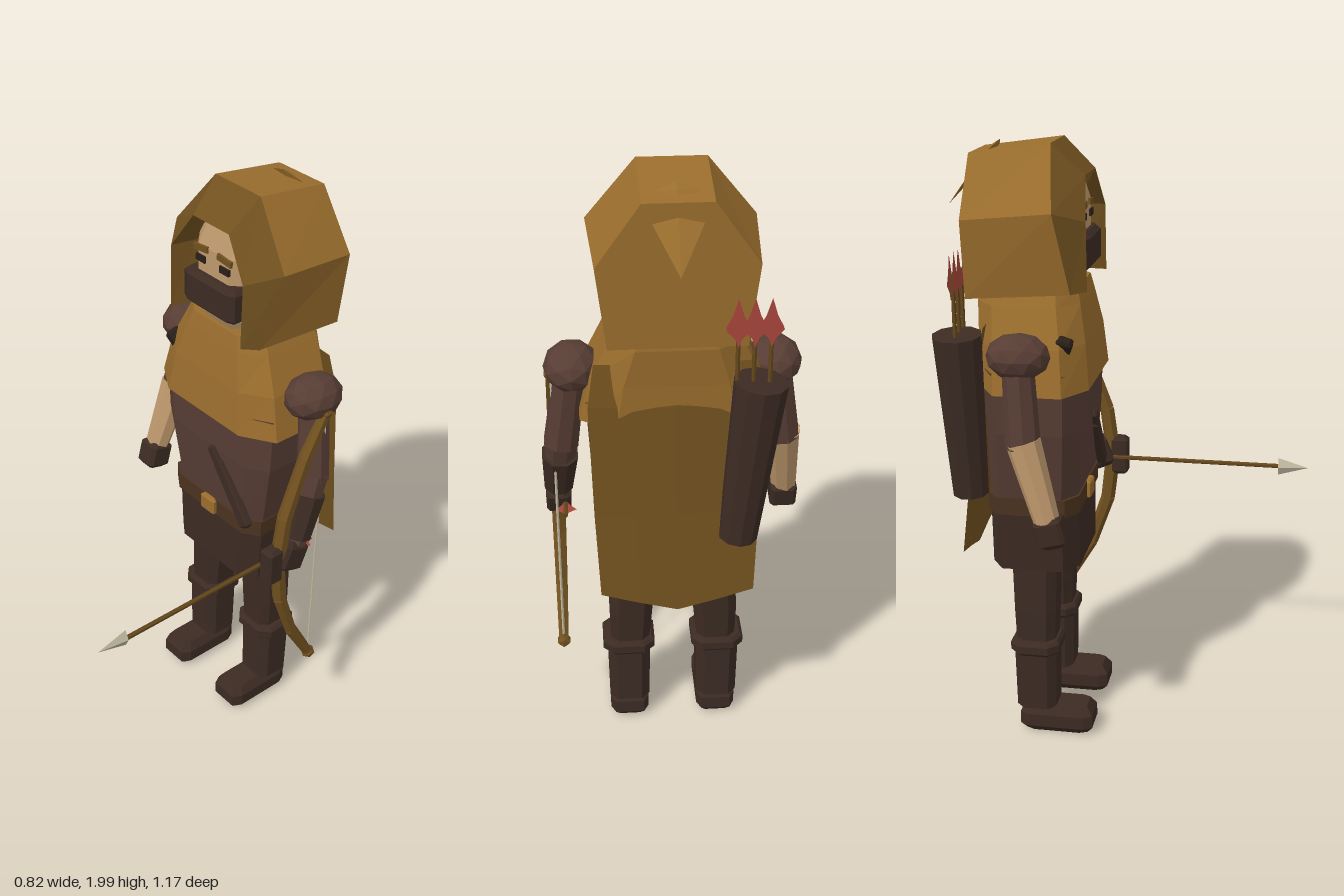
import * as THREE from 'three';

const material = (name, color, side = THREE.FrontSide) => {
  const m = new THREE.MeshStandardMaterial({ color, side, flatShading: true });
  m.name = name;
  return m;
};

export function createModel() {
  const root = new THREE.Group();
  root.name = 'hoodedArcher';
  const M = {
    ochre: material('ochre cloth', 0x9a6d2d, THREE.DoubleSide),
    olive: material('dark ochre', 0x71511f, THREE.DoubleSide),
    brown: material('brown cloth', 0x573d34),
    dark: material('dark leather', 0x3c2b23),
    belt: material('belt leather', 0x4b331f),
    skin: material('skin', 0xbf996d),
    red: material('red feathers', 0xa8463a, THREE.DoubleSide),
    metal: material('pale metal', 0xc0b79f),
    wood: material('shaft wood', 0x62461b),
    ink: material('near black', 0x2a1f19),
  };
  const V = (x, y, z) => new THREE.Vector3(x, y, z);

  function add(name, geo, mat, pos = [0, 0, 0], rot = [0, 0, 0], scale = [1, 1, 1]) {
    const g = geo.index ? geo.toNonIndexed() : geo;
    g.computeVertexNormals();
    const mesh = new THREE.Mesh(g, mat);
    mesh.name = name;
    mesh.position.set(...pos);
    mesh.rotation.set(...rot);
    mesh.scale.set(...scale);
    root.add(mesh);
    return mesh;
  }
  function fromTriangles(points) {
    return new THREE.BufferGeometry().setFromPoints(points);
  }
  // Stacked octagons; ring = [y, halfWidth, halfDepth, centreX, centreZ]
  function loft(rings, k = 0.6) {
    const R = rings.map(([y, w, d, cx = 0, cz = 0]) =>
      [[w, -k * d], [w, k * d], [k * w, d], [-k * w, d], [-w, k * d], [-w, -k * d], [-k * w, -d], [k * w, -d]]
        .map(([x, z]) => V(cx + x, y, cz + z)));
    const t = [];
    for (let r = 0; r + 1 < R.length; r++) {
      for (let i = 0; i < 8; i++) {
        const j = (i + 1) % 8, a = R[r], b = R[r + 1];
        t.push(a[i], b[i], a[j], b[i], b[j], a[j]);
      }
    }
    const lo = R[0], hi = R[R.length - 1];
    for (let i = 1; i < 7; i++) t.push(lo[0], lo[i], lo[i + 1], hi[0], hi[i + 1], hi[i]);
    return fromTriangles(t);
  }
  // Box with bevelled edges, centred on its origin
  function bevelBox(w, h, d, b) {
    const x = w / 2, y = h / 2, z = d / 2;
    return loft([[-y, x - b, z - b], [-y + b, x, z], [y - b, x, z], [y, x - b, z - b]], 0.75);
  }
  // Open sheet through rows of points
  function sheet(rows) {
    const t = [];
    for (let r = 0; r + 1 < rows.length; r++) {
      for (let i = 0; i + 1 < rows[r].length; i++) {
        const a = rows[r][i], b = rows[r][i + 1], c = rows[r + 1][i], d = rows[r + 1][i + 1];
        t.push(a, c, b, b, c, d);
      }
    }
    return fromTriangles(t);
  }
  // Tapered cylinder between two points
  function limb(name, a, b, ra, rb, mat, sides = 8) {
    const p = V(...a), q = V(...b);
    const m = add(name, new THREE.CylinderGeometry(rb, ra, p.distanceTo(q), sides), mat);
    m.position.copy(p).add(q).multiplyScalar(0.5);
    m.quaternion.setFromUnitVectors(V(0, 1, 0), q.sub(p).normalize());
  }

  // Legs and boots
  for (const [side, s] of [['left', 1], ['right', -1]]) {
    const x = s * 0.148;
    add(side + 'Foot', loft([[0, 0.045, 0.105, x, -0.222], [0.025, 0.065, 0.125, x, -0.222],
      [0.07, 0.065, 0.125, x, -0.222], [0.1, 0.045, 0.105, x, -0.222]], 0.75), M.dark);
    add(side + 'BootShaft', loft([[0.095, 0.067, 0.068, x, -0.29], [0.32, 0.071, 0.072, x, -0.29]]), M.dark);
    add(side + 'BootCuff', loft([[0.3, 0.075, 0.074, x, -0.29], [0.312, 0.086, 0.083, x, -0.29],
      [0.338, 0.086, 0.083, x, -0.29], [0.35, 0.075, 0.074, x, -0.29]]), M.dark);
    add(side + 'Leg', loft([[0.34, 0.063, 0.066, s * 0.143, -0.29], [0.45, 0.07, 0.07, s * 0.14, -0.29],
      [0.64, 0.072, 0.076, s * 0.13, -0.29]]), M.dark);
  }

  // Body
  add('skirt', loft([[0.61, 0.203, 0.147, 0, -0.29], [0.82, 0.215, 0.147, 0, -0.29]], 0.7), M.dark);
  add('belt', loft([[0.81, 0.22, 0.152, 0, -0.29], [0.87, 0.22, 0.152, 0, -0.29]], 0.75), M.belt);
  add('buckle', bevelBox(0.07, 0.06, 0.024, 0.006), M.ochre, [0, 0.84, -0.136]);
  add('torso', loft([[0.86, 0.215, 0.146, 0, -0.29], [1.1, 0.255, 0.155, 0, -0.28],
    [1.3, 0.265, 0.16, 0, -0.28]], 0.7), M.brown);
  add('mantle', loft([[1.235, 0.285, 0.176, 0, -0.276], [1.38, 0.25, 0.172, 0, -0.285],
    [1.5, 0.195, 0.165, 0, -0.3], [1.55, 0.17, 0.155, 0, -0.3]], 0.62), M.ochre);
  add('mantleClasp', bevelBox(0.035, 0.07, 0.05, 0.008), M.ink, [-0.215, 1.385, -0.17], [0.3, 0, 0.65]);

  // Sheathed dagger across the waist
  add('daggerSheath', bevelBox(0.046, 0.25, 0.03, 0.01), M.dark, [0.128, 0.962, -0.128], [0, 0, 0.66]);
  add('daggerHandle', bevelBox(0.034, 0.09, 0.026, 0.008), M.dark, [0.047, 1.066, -0.125], [0, 0, 0.66]);

  // Head, face and mask
  add('head', loft([[1.48, 0.085, 0.085, 0, -0.28], [1.58, 0.115, 0.115, 0, -0.26], [1.68, 0.135, 0.127, 0, -0.262],
    [1.8, 0.138, 0.127, 0, -0.262], [1.905, 0.09, 0.1, 0, -0.265]], 0.52), M.skin);
  add('mask', bevelBox(0.24, 0.12, 0.11, 0.016), M.dark, [0, 1.655, -0.162]);
  for (const s of [1, -1]) {
    add('eye', new THREE.BoxGeometry(0.042, 0.022, 0.009), M.ink, [s * 0.055, 1.758, -0.133]);
    add('eyebrow', new THREE.BoxGeometry(0.064, 0.02, 0.009), M.olive, [s * 0.055, 1.793, -0.132], [0, 0, -s * 0.1]);
  }

  // Hood: arches of [bottom, widest, top] mirrored
  const arch = (half) => [...half.map(([x, y, z]) => V(-x, y, z)), ...half.slice().reverse().map((p) => V(...p))];
  const inner = arch([[0.132, 1.56, -0.19], [0.14, 1.77, -0.19], [0.08, 1.89, -0.19]]);
  const rim = arch([[0.168, 1.55, -0.104], [0.168, 1.765, -0.106], [0.082, 1.893, -0.122]]);
  const brow = arch([[0.204, 1.545, -0.15], [0.25, 1.8, -0.195], [0.102, 1.99, -0.225]]);
  const back = arch([[0.2, 1.52, -0.485], [0.23, 1.77, -0.485], [0.1, 1.955, -0.485]]);
  add('hoodRim', sheet([inner, rim, brow]), M.olive);
  add('hood', sheet([brow, back]), M.ochre);
  const cap = [];
  for (let i = 1; i < 5; i++) cap.push(back[0], back[i], back[i + 1]);
  add('hoodBack', fromTriangles(cap), M.ochre);
  // Flat point passing out through the back of the hood
  const pointProfile = [[0, 0], [0.07, 0.15], [0.074, 0.2], [0.062, 0.243], [0, 0.272]]
    .map((p) => new THREE.Vector2(...p));
  add('hoodPoint', new THREE.LatheGeometry(pointProfile, 4), M.ochre, [0, 1.78, -0.583], [0.7, 0, 0], [1, 1, 0.15]);

  // Cloak, hung from under the mantle
  const cloakRows = [[1.44, 0.24, -0.42], [1.31, 0.26, -0.444], [0.95, 0.25, -0.478], [0.645, 0.237, -0.514]];
  add('cloak', sheet(cloakRows.map(([y, w, z], r) => [-1, -0.5, 0, 0.5, 1].map((u) =>
    V(u * w, y + (r === 3 ? 0.06 * Math.abs(u) - 0.03 : 0), z - 0.012 * (1 - u * u))))), M.olive);

  // Arms
  for (const s of [1, -1]) {
    add('shoulder', new THREE.IcosahedronGeometry(0.102, 1), M.brown, [s * 0.303, 1.372, -0.295], [0, 0, 0], [0.84, 0.72, 1]);
    limb('upperArm', [s * 0.31, 1.35, -0.295], [s * 0.345, 1.09, -0.275], 0.05, 0.055, M.brown);
  }
  limb('rightForearm', [-0.345, 1.11, -0.275], [-0.37, 0.86, -0.2], 0.056, 0.042, M.skin);
  add('rightHand', bevelBox(0.085, 0.105, 0.09, 0.018), M.dark, [-0.368, 0.828, -0.188], [-0.25, 0, 0]);
  limb('leftForearm', [0.345, 1.11, -0.275], [0.36, 0.86, -0.195], 0.055, 0.04, M.brown);
  limb('leftBracer', [0.35, 1.04, -0.255], [0.36, 0.89, -0.205], 0.06, 0.048, M.dark);
  add('leftHand', bevelBox(0.08, 0.11, 0.1, 0.018), M.dark, [0.362, 0.835, -0.17], [-0.4, 0, 0]);

  // Bow, built from straight faceted lengths
  const bowPath = [[1.345, -0.29], [1.2, -0.212], [1.0, -0.14], [0.83, -0.118], [0.66, -0.138], [0.48, -0.2], [0.315, -0.295]]
    .map(([y, z]) => [0.366, y, z]);
  const bowRadius = [0.018, 0.022, 0.025, 0.026, 0.025, 0.022, 0.018];
  for (let i = 0; i < 6; i++) {
    limb('bowLength', bowPath[i], bowPath[i + 1], bowRadius[i], bowRadius[i + 1], M.olive, 6);
  }
  for (const p of [bowPath[0], bowPath[6]]) {
    add('bowTip', new THREE.IcosahedronGeometry(0.025, 0), M.olive, p);
  }
  add('bowGrip', bevelBox(0.055, 0.14, 0.06, 0.012), M.dark, [0.366, 0.828, -0.092]);
  limb('bowString', [0.366, 1.34, -0.292], [0.366, 0.32, -0.295], 0.0045, 0.0045, M.metal, 5);

  // Flat kite-shaped feather, point up
  const kite = () => new THREE.ShapeGeometry(new THREE.Shape(
    [[0, 0.075], [-0.016, 0.022], [-0.035, -0.015], [-0.01, -0.042], [0, -0.07], [0.01, -0.042], [0.035, -0.015], [0.016, 0.022]]
      .map((p) => new THREE.Vector2(...p))));

  // Nocked arrow
  limb('arrowShaft', [0.34, 0.825, -0.29], [0.34, 0.825, 0.49], 0.008, 0.008, M.wood, 6);
  add('arrowHead', new THREE.ConeGeometry(0.031, 0.105, 4), M.metal, [0.336, 0.825, 0.533], [Math.PI / 2, 0, 0], [0.5, 1, 1]);
  for (const a of [0, Math.PI / 2]) {
    add('arrowFeather', kite(), M.red, [0.34, 0.825, -0.25], [Math.PI / 2, a, 0], [1, 0.6, 1]);
  }

  // Quiver with spare arrows
  limb('quiver', [-0.185, 0.87, -0.495], [-0.238, 1.415, -0.505], 0.06, 0.08, M.dark, 10);
  for (const x of [-0.262, -0.215, -0.168]) {
    limb('spareShaft', [x, 1.35, -0.503], [x, 1.61, -0.503], 0.007, 0.007, M.wood, 6);
    for (const z of [-0.511, -0.495]) add('spareFeather', kite(), M.red, [x, 1.597, z]);
  }
  return root;
}
